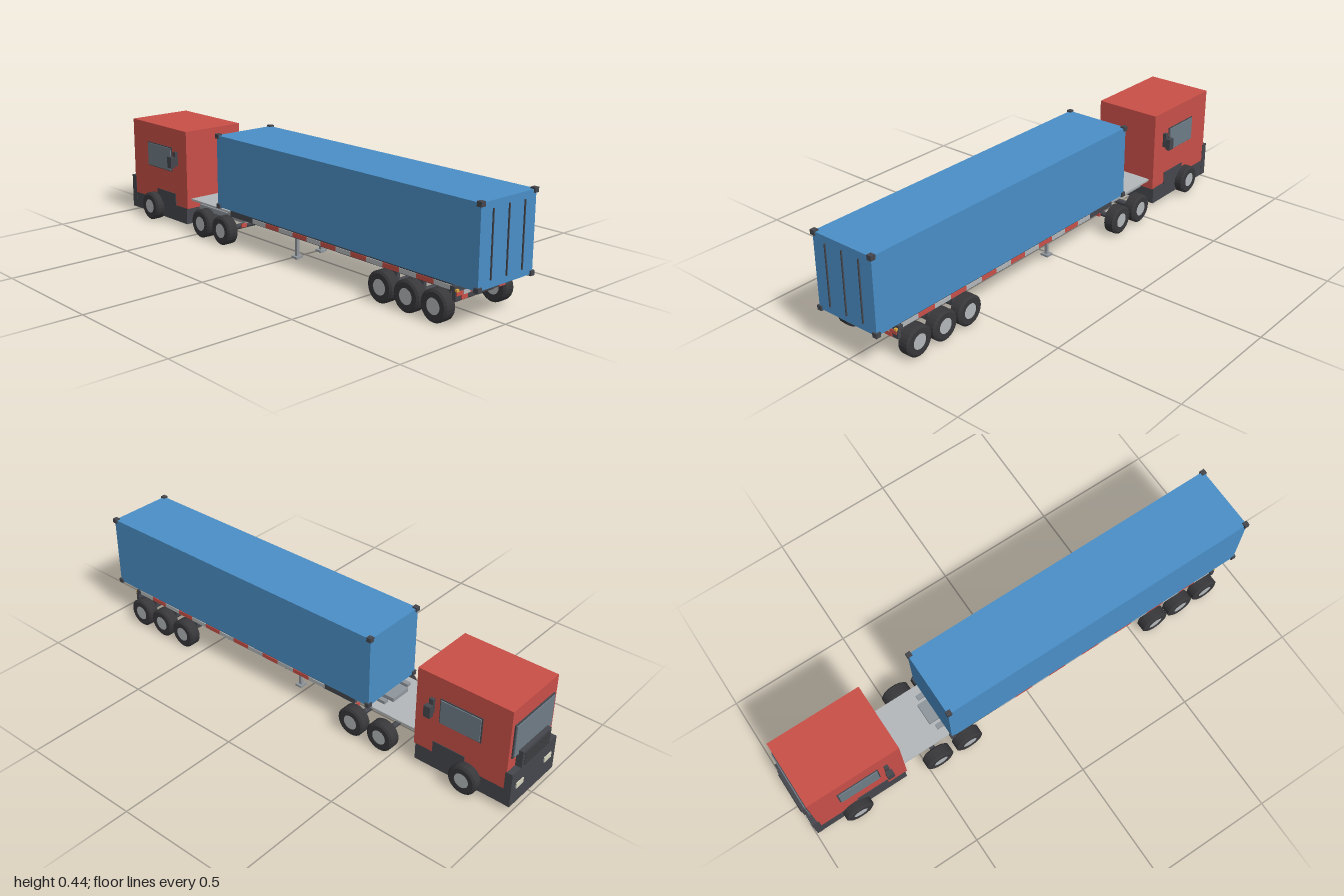
import * as THREE from 'three';

const mat = (color) => new THREE.MeshStandardMaterial({ color });
const RED = mat(0xc94f48), BLUE = mat(0x4a8fc7), DARK = mat(0x45474d), TYRE = mat(0x38383b);
const STEEL = mat(0x8f969c), PALE = mat(0xb4b8ba), GLASS = mat(0x6f7d87), LAMP = mat(0xd8d6c0), AMBER = mat(0xe0a83c);

export function createModel() {
  const model = new THREE.Group();
  model.name = 'containerTruck';

  // Box given by its limits on each axis
  function box(name, material, x0, x1, y0, y1, z0, z1, parent = model) {
    const mesh = new THREE.Mesh(new THREE.BoxGeometry(x1 - x0, y1 - y0, z1 - z0), material);
    mesh.position.set((x0 + x1) / 2, (y0 + y1) / 2, (z0 + z1) / 2);
    mesh.name = name;
    parent.add(mesh);
    return mesh;
  }
  // The same box on both sides of the truck
  function pair(name, material, x0, x1, y0, y1, z0, z1, parent = model) {
    box(name + 'Left', material, x0, x1, y0, y1, z0, z1, parent);
    box(name + 'Right', material, -x1, -x0, y0, y1, z0, z1, parent);
  }
  function group(name) {
    const g = new THREE.Group();
    g.name = name;
    model.add(g);
    return g;
  }

  // Container with corner castings and door bars
  const container = group('container');
  box('containerBody', BLUE, -0.139, 0.139, 0.145, 0.44, -0.372, 0.992, container);
  for (const z of [-0.367, 0.988])
    for (const y of [0.149, 0.437])
      pair('cornerCasting', DARK, 0.125, 0.145, y - 0.009, y + 0.009, z - 0.01, z + 0.01, container);
  for (const x of [-0.08, 0, 0.08]) {
    const trim = x === 0 ? 0.003 : 0;
    box('doorBar', DARK, x - 0.002, x + 0.002, 0.173 - trim, 0.414 + trim, 0.99, 0.997, container);
  }

  // Trailer ladder frame
  const frame = group('trailerFrame');
  pair('frameRail', DARK, 0.112, 0.133, 0.118, 0.144, -0.3, 0.88, frame);
  for (let i = 0; i < 10; i++) {
    const z = -0.29 + i * 0.128;
    box('crossMember', DARK, -0.112, 0.112, 0.122, 0.142, z - 0.009, z + 0.009, frame);
  }
  for (let i = 0; i < 13; i++) {
    const z = -0.155 + i * 0.0795;
    pair('sideMarking', i % 2 ? RED : PALE, 0.133, 0.136, 0.121, 0.138, z, z + 0.0795, frame);
  }
  pair('frontRail', STEEL, 0.06, 0.08, 0.134, 0.146, -0.4, -0.29, frame);

  // Rear bumper, marking strip and lights
  const rear = group('rearBumper');
  box('rearBeam', DARK, -0.139, 0.139, 0.12, 0.137, 0.875, 0.895, rear);
  box('rearLowerBeam', DARK, -0.139, 0.139, 0.088, 0.12, 0.885, 0.9, rear);
  for (let i = 0; i < 8; i++) {
    const x = -0.137 + i * 0.03425;
    box('rearMarking', (i < 4 ? i : i + 1) % 2 ? PALE : RED, x + 0.001, x + 0.0335, 0.105, 0.119, 0.9, 0.903, rear);
  }
  pair('tailLight', RED, 0.081, 0.112, 0.089, 0.105, 0.9, 0.904, rear);
  pair('indicator', AMBER, 0.126, 0.137, 0.119, 0.128, 0.895, 0.904, rear);
  pair('bumperBracket', DARK, 0.1, 0.12, 0.136, 0.145, 0.85, 0.89, rear);

  // Landing legs
  for (const s of [-1, 1]) {
    const x = s * 0.063;
    box('landingLeg', STEEL, x - 0.006, x + 0.006, 0.014, 0.14, 0.021, 0.033);
    box('landingFoot', STEEL, x - 0.017, x + 0.017, 0.009, 0.017, 0.012, 0.042);
    box('landingPad', STEEL, x - 0.006, x + 0.006, 0.002, 0.009, 0.021, 0.033);
  }
  box('legBrace', STEEL, -0.063, 0.063, 0.08, 0.088, 0.024, 0.03);

  // Wheels: tyre profile (radius, width) turned about the axle
  const tyreGeo = new THREE.LatheGeometry(
    [[0.03, -0.025], [0.05, -0.025], [0.059, -0.019], [0.059, 0.019], [0.05, 0.025], [0.03, 0.025], [0.03, -0.025]]
      .map(([r, h]) => new THREE.Vector2(r, h)), 24);
  tyreGeo.rotateZ(-Math.PI / 2);
  const tyreFlat = tyreGeo.toNonIndexed();
  tyreFlat.computeVertexNormals();
  const hubGeo = new THREE.CylinderGeometry(0.031, 0.031, 0.046, 24).rotateZ(Math.PI / 2);
  const axleGeo = new THREE.CylinderGeometry(0.011, 0.011, 0.27, 12).rotateZ(Math.PI / 2);
  for (const z of [0.835, 0.71, 0.585, -0.315, -0.45, -0.815]) {
    const axle = group('axle');
    axle.position.set(0, 0.062, z);
    const shaft = new THREE.Mesh(axleGeo, DARK);
    shaft.name = 'axleShaft';
    axle.add(shaft);
    for (const s of [-1, 1]) {
      const tyre = new THREE.Mesh(tyreFlat, TYRE);
      const hub = new THREE.Mesh(hubGeo, PALE);
      tyre.name = 'tyre';
      hub.name = 'wheelHub';
      tyre.position.x = hub.position.x = s * 0.151;
      axle.add(tyre, hub);
    }
    // Suspension hangers up to the frame
    if (z > 0) pair('hanger', DARK, 0.085, 0.1, 0, 0.06, -0.012, 0.012, axle);
  }

  // Tractor chassis, deck and coupling
  pair('chassisRail', STEEL, 0.05, 0.075, 0.08, 0.1, -0.6, -0.28);
  box('rearCrossBeam', STEEL, -0.05, 0.05, 0.08, 0.1, -0.3, -0.28);
  box('deck', PALE, -0.12, 0.12, 0.124, 0.132, -0.585, -0.3);
  pair('deckSupport', STEEL, 0.05, 0.075, 0.1, 0.124, -0.39, -0.37);
  box('coupling', STEEL, -0.045, 0.045, 0.132, 0.147, -0.415, -0.33);
  pair('tractorTailLight', RED, 0.07, 0.095, 0.068, 0.083, -0.28, -0.274);

  // Cab shell and dark lower skirt
  const cab = group('cab');
  box('cabBody', RED, -0.14, 0.14, 0.09, 0.42, -0.97, -0.583, cab);
  box('skirt', DARK, -0.14, 0.14, 0.022, 0.092, -0.985, -0.59, cab);
  pair('wheelArch', DARK, 0.13, 0.143, 0.085, 0.14, -0.8, -0.665, cab);

  // Front bumper, grille, windscreen and headlights
  box('frontBumper', DARK, -0.141, 0.141, 0.022, 0.165, -0.994, -0.965, cab);
  box('grille', DARK, -0.09, 0.09, 0.165, 0.235, -0.996, -0.965, cab);
  for (let i = 0; i < 4; i++)
    box('grilleSlat', TYRE, -0.08, 0.08, 0.176 + i * 0.014, 0.181 + i * 0.014, -1, -0.99, cab);
  box('windscreenFrame', DARK, -0.123, 0.123, 0.215, 0.355, -0.975, -0.96, cab);
  box('windscreen', GLASS, -0.118, 0.118, 0.22, 0.35, -0.979, -0.96, cab);
  pair('headlight', LAMP, 0.068, 0.112, 0.09, 0.112, -0.998, -0.99, cab);

  // Side windows and mirrors
  pair('sideWindowFrame', DARK, 0.13, 0.143, 0.233, 0.337, -0.86, -0.685, cab);
  pair('sideWindow', GLASS, 0.13, 0.147, 0.237, 0.333, -0.855, -0.69, cab);
  pair('mirrorBracket', DARK, 0.14, 0.154, 0.265, 0.325, -0.662, -0.645, cab);
  pair('mirrorArm', DARK, 0.15, 0.16, 0.28, 0.287, -0.658, -0.65, cab);
  pair('mirror', DARK, 0.158, 0.178, 0.26, 0.307, -0.668, -0.64, cab);

  return model;
}
